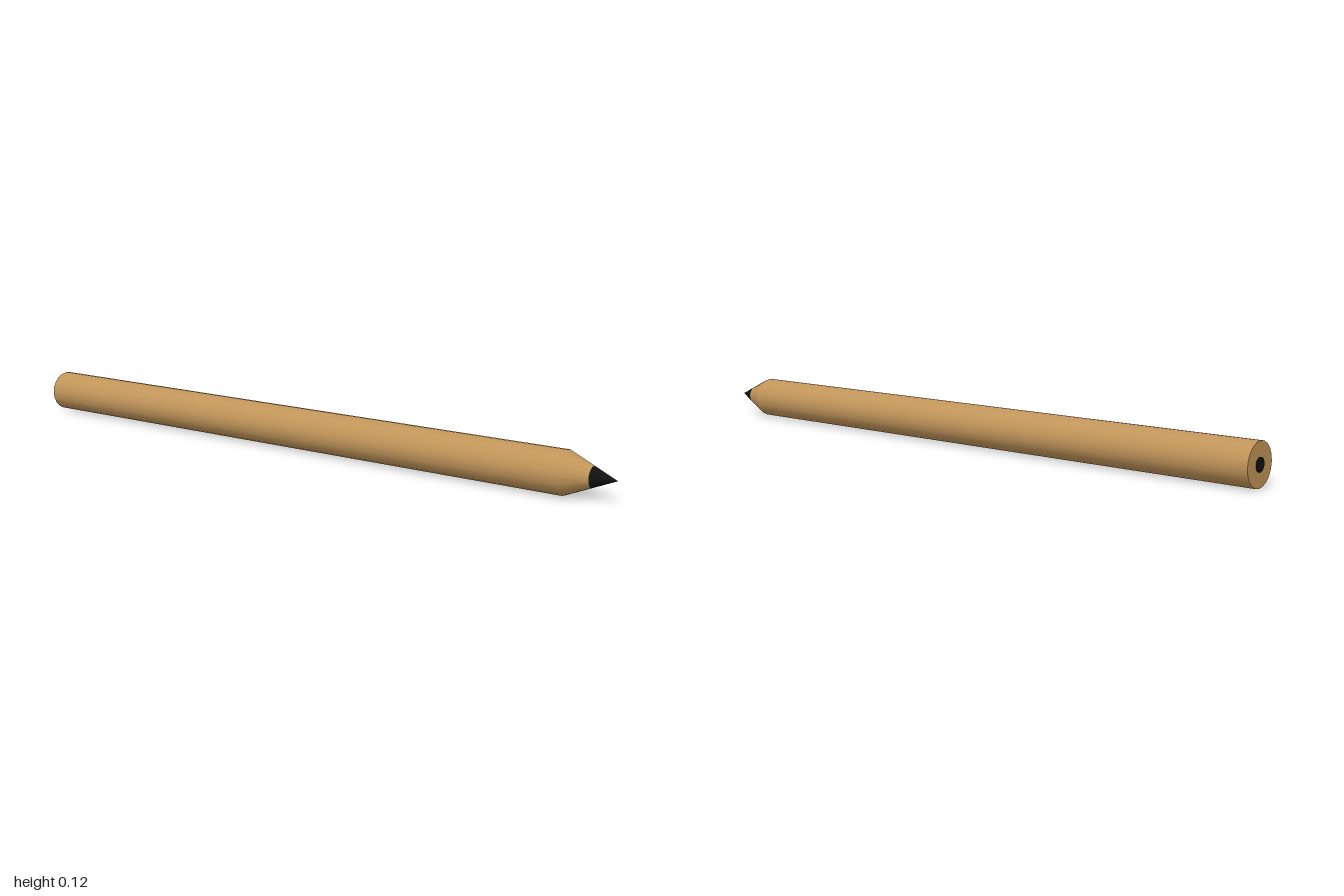
import * as THREE from 'three';

const SIDES = 20;
const RADIUS = 0.0615;
const LEAD_RADIUS = 0.02;
const BACK = -0.998, SHOULDER = 0.857, LEAD_START = 0.932, POINT = 1;

export function createModel() {
  const model = new THREE.Group();
  model.name = 'pencil';

  const wood = new THREE.MeshStandardMaterial({ color: 0xc1955a });
  wood.name = 'wood';
  const graphite = new THREE.MeshStandardMaterial({ color: 0x111111 });
  graphite.name = 'graphite';

  // Round section along z, from z0 (radius r0) to z1 (radius r1)
  function section(name, material, z0, r0, z1, r1, open) {
    const geometry = new THREE.CylinderGeometry(r1, r0, z1 - z0, SIDES, 1, open);
    geometry.rotateX(Math.PI / 2);
    const mesh = new THREE.Mesh(geometry, material);
    mesh.name = name;
    mesh.position.set(0, RADIUS, (z0 + z1) / 2);
    model.add(mesh);
  }

  // One continuous taper shared by the sharpened wood and the lead point
  const tipRadius = RADIUS * (POINT - LEAD_START) / (POINT - SHOULDER);

  section('shaft', wood, BACK, RADIUS, SHOULDER, RADIUS, false);
  section('sharpenedWood', wood, SHOULDER, RADIUS, LEAD_START, tipRadius, true);
  section('leadPoint', graphite, LEAD_START, tipRadius, POINT, 0, false);
  // Lead showing slightly proud of the back end
  section('leadEnd', graphite, -1, LEAD_RADIUS, BACK + 0.004, LEAD_RADIUS, false);

  return model;
}
